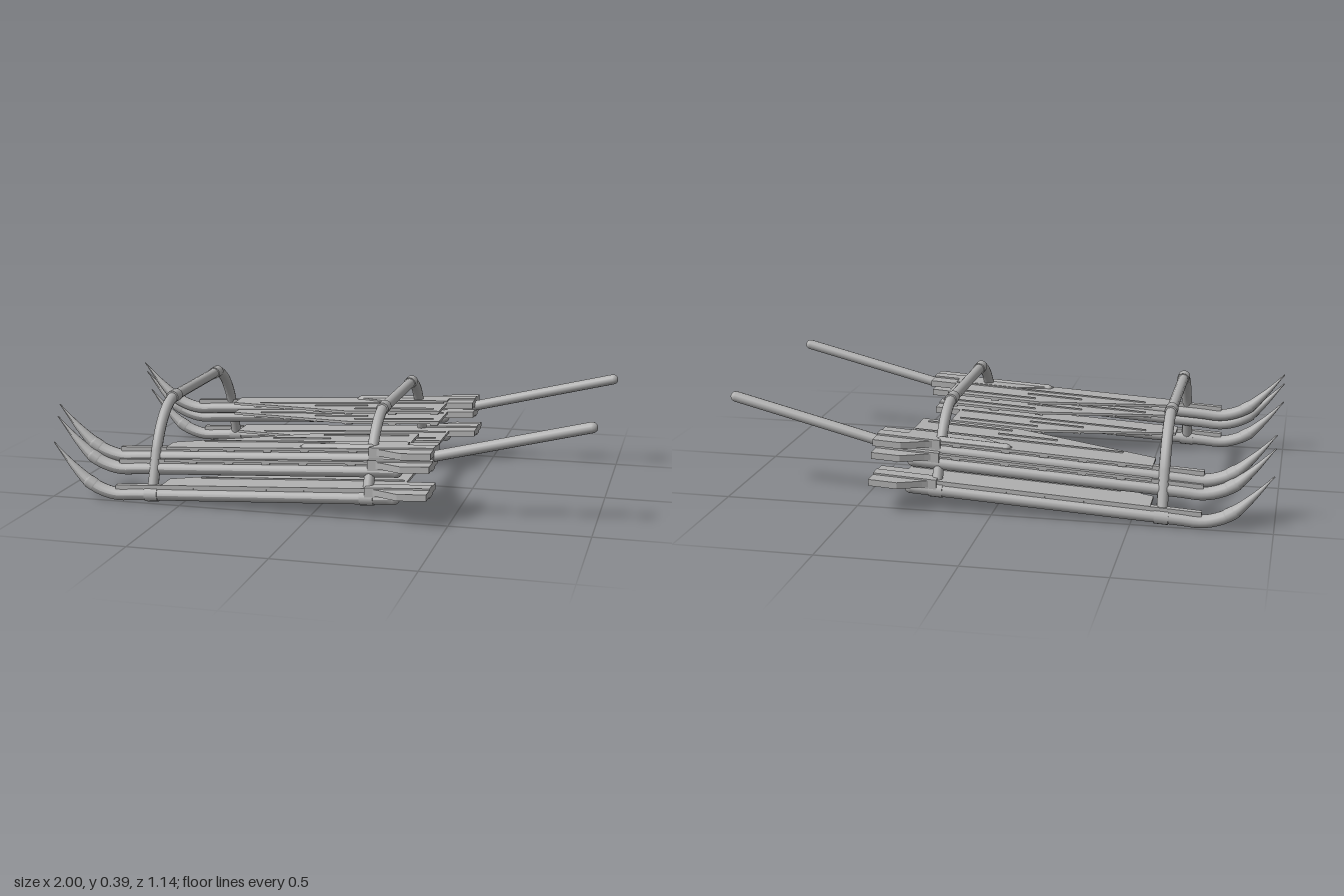
import * as THREE from 'three';

const steel = new THREE.MeshStandardMaterial({ color: 0xb0b0b0 });
steel.name = 'grey steel';

const SLOPE = 0.055;
const base = (x) => 0.07 + SLOPE * x; // axis height of the lowest runner
const V = (x, y, z) => new THREE.Vector3(x, y, z);

function add(group, name, geo) {
  const m = new THREE.Mesh(geo, steel);
  m.name = name;
  group.add(m);
  return m;
}

// Round-ended bar between two points
function rod(group, name, a, b, r) {
  const d = b.clone().sub(a);
  const m = add(group, name, new THREE.CapsuleGeometry(r, d.length(), 4, 12));
  m.position.copy(a).add(b).multiplyScalar(0.5);
  m.quaternion.setFromUnitVectors(V(0, 1, 0), d.normalize());
  return m;
}

// Flat plate from [x, z] corners, lying along the runner slope
function plate(group, name, pts, y, t) {
  const shape = new THREE.Shape(pts.map(([x, z]) => new THREE.Vector2(x, -z)));
  const geo = new THREE.ExtrudeGeometry(shape, { depth: t, bevelEnabled: false });
  geo.rotateX(-Math.PI / 2);
  geo.applyMatrix4(new THREE.Matrix4().set(1, 0, 0, 0, SLOPE, 1, 0, 0.07 + y, 0, 0, 1, 0, 0, 0, 0, 1));
  return add(group, name, geo);
}

// Tube that bends up at the front and tapers to a point
function runner(group, z, off) {
  const pts = [[0.3, base(0.3)], [0, base(0)], [-0.4, base(-0.4)], [-0.68, base(-0.68)], [-0.74, 0.028],
    [-0.79, 0.036], [-0.85, 0.062], [-0.92, 0.125], [-0.995, 0.21]];
  const path = new THREE.CatmullRomCurve3(pts.map(([x, y]) => V(x, y + off, z)));
  const n = 64, sides = 12;
  const geo = new THREE.TubeGeometry(path, n, 0.024, sides);
  const p = geo.attributes.position, v = new THREE.Vector3();
  for (let i = 0; i <= n; i++) {
    const c = path.getPointAt(i / n);
    const k = c.x > -0.86 ? 1 : Math.max(0.1, (c.x + 1) / 0.14);
    for (let j = 0; j <= sides; j++) {
      const q = i * (sides + 1) + j;
      v.fromBufferAttribute(p, q).sub(c).multiplyScalar(k).add(c);
      p.setXYZ(q, v.x, v.y, v.z);
    }
  }
  geo.computeVertexNormals();
  add(group, 'runner', geo);
  add(group, 'runnerEnd', new THREE.SphereGeometry(0.024, 12, 8)).position.set(0.3, base(0.3) + off, z);
  // Collar where the bend starts
  rod(group, 'runnerCollar', V(-0.84, 0.057 + off, z), V(-0.86, 0.069 + off, z), 0.025);
}

// One tier: runner, deck, battens, ribs and tail plate
function tier(side, s, { off, c, inner, outer }) {
  const g = new THREE.Group();
  g.name = 'tier';
  side.add(g);
  const shift = s < 0 ? -0.017 : 0;
  const ze = inner + shift, zf = inner + 0.16 + shift;
  const edge = (x) => (x > -0.04 ? ze : zf + (ze - zf) * (x + 0.57) / 0.53);

  runner(g, s * c, off);
  plate(g, 'deck', [[-0.57, s * outer], [-0.57, s * zf], [-0.04, s * ze], [0.33, s * ze], [0.33, s * outer]], off + 0.028, 0.01);

  // Cross battens under the deck
  for (const x of [-0.46, -0.32, -0.18, -0.04, 0.14, 0.31]) {
    const z = edge(x - 0.02) + 0.002;
    plate(g, 'batten', [[x - 0.015, s * z], [x + 0.015, s * z], [x + 0.015, s * outer], [x - 0.015, s * outer]], off + 0.022, 0.007);
  }
  // Lengthwise ribs on the deck
  for (const [x0, x1, z] of [[-0.02, 0.3, ze + 0.035], [-0.2, 0.02, ze + 0.09], [-0.45, 0.32, ze + 0.145]]) {
    plate(g, 'rib', [[x0, s * z], [x1, s * z], [x1, s * (z + 0.006)], [x0, s * (z + 0.006)]], off + 0.037, 0.006);
  }
  // Straight rail above the runner
  plate(g, 'rail', [[-0.75, s * (c - 0.012)], [0.3, s * (c - 0.012)], [0.3, s * (c + 0.012)], [-0.75, s * (c + 0.012)]], off + 0.018, 0.018);
  // Flared tail plate
  const tail = [[0.22, -0.02], [0.25, -0.035], [0.33, -0.083], [0.435, -0.083], [0.435, 0.083], [0.33, 0.083], [0.25, 0.035], [0.22, 0.02]];
  plate(g, 'tailPlate', tail.map(([x, z]) => [x, s * (c + z)]), off + 0.014, 0.024);
  plate(g, 'tailRidge', [[0.2, s * (c - 0.025)], [0.435, s * (c - 0.025)], [0.435, s * (c + 0.025)], [0.2, s * (c + 0.025)]], off + 0.007, 0.037);
}

// Cross arch joining both sides
function arch(group, x) {
  const g = new THREE.Group();
  g.name = 'arch';
  group.add(g);
  const y0 = base(x);
  const path = new THREE.CurvePath();
  const leg = (s) => [V(x, y0, s * 0.485), V(x, 0.2, s * 0.425)];
  const [a, b] = leg(1), [a2, b2] = leg(-1);
  const t = V(x, 0.355, 0.235), t2 = V(x, 0.355, -0.235);
  path.add(new THREE.LineCurve3(a, b));
  path.add(new THREE.CubicBezierCurve3(b, V(x, 0.285, 0.385), V(x, 0.352, 0.315), t));
  path.add(new THREE.LineCurve3(t, t2));
  path.add(new THREE.CubicBezierCurve3(t2, V(x, 0.352, -0.315), V(x, 0.285, -0.385), b2));
  path.add(new THREE.LineCurve3(b2, a2));
  add(g, 'archTube', new THREE.TubeGeometry(path, 90, 0.02, 12));
  for (const s of [1, -1]) {
    const sleeve = add(g, 'sleeve', new THREE.CylinderGeometry(0.0235, 0.0235, 0.05, 14));
    sleeve.rotation.x = Math.PI / 2;
    sleeve.position.set(x, 0.355, s * 0.235);
    // Clamp on the lowest runner
    const clamp = add(g, 'clamp', new THREE.CylinderGeometry(0.027, 0.027, 0.05, 14));
    clamp.rotation.z = Math.PI / 2 + SLOPE;
    clamp.position.set(x, y0, s * 0.485);
  }
}

export function createModel() {
  const model = new THREE.Group();
  model.name = 'tieredSled';
  const tiers = [
    { off: 0, c: 0.485, inner: 0.245, outer: 0.5 },
    { off: 0.088, c: 0.442, inner: 0.2, outer: 0.46 },
    { off: 0.13, c: 0.421, inner: 0.2, outer: 0.44 },
  ];
  for (const s of [1, -1]) {
    const side = new THREE.Group();
    side.name = s > 0 ? 'frontSide' : 'backSide';
    model.add(side);
    tiers.forEach((t) => tier(side, s, t));
    // Long handle and its short mounting bar
    rod(side, 'handle', V(0.4, 0.225, s * 0.421), V(0.98, 0.37, s * 0.421), 0.02);
    rod(side, 'mountBar', V(-0.04, 0.232, s * 0.418), V(0.2, 0.245, s * 0.418), 0.017);
    // Reinforcing plate on the top deck
    plate(side, 'deckPlate', [[-0.06, s * 0.42], [0.07, s * 0.352], [0.33, s * 0.352], [0.33, s * 0.42]], 0.168, 0.006);
  }
  for (const x of [-0.61, 0.205]) arch(model, x);
  return model;
}
